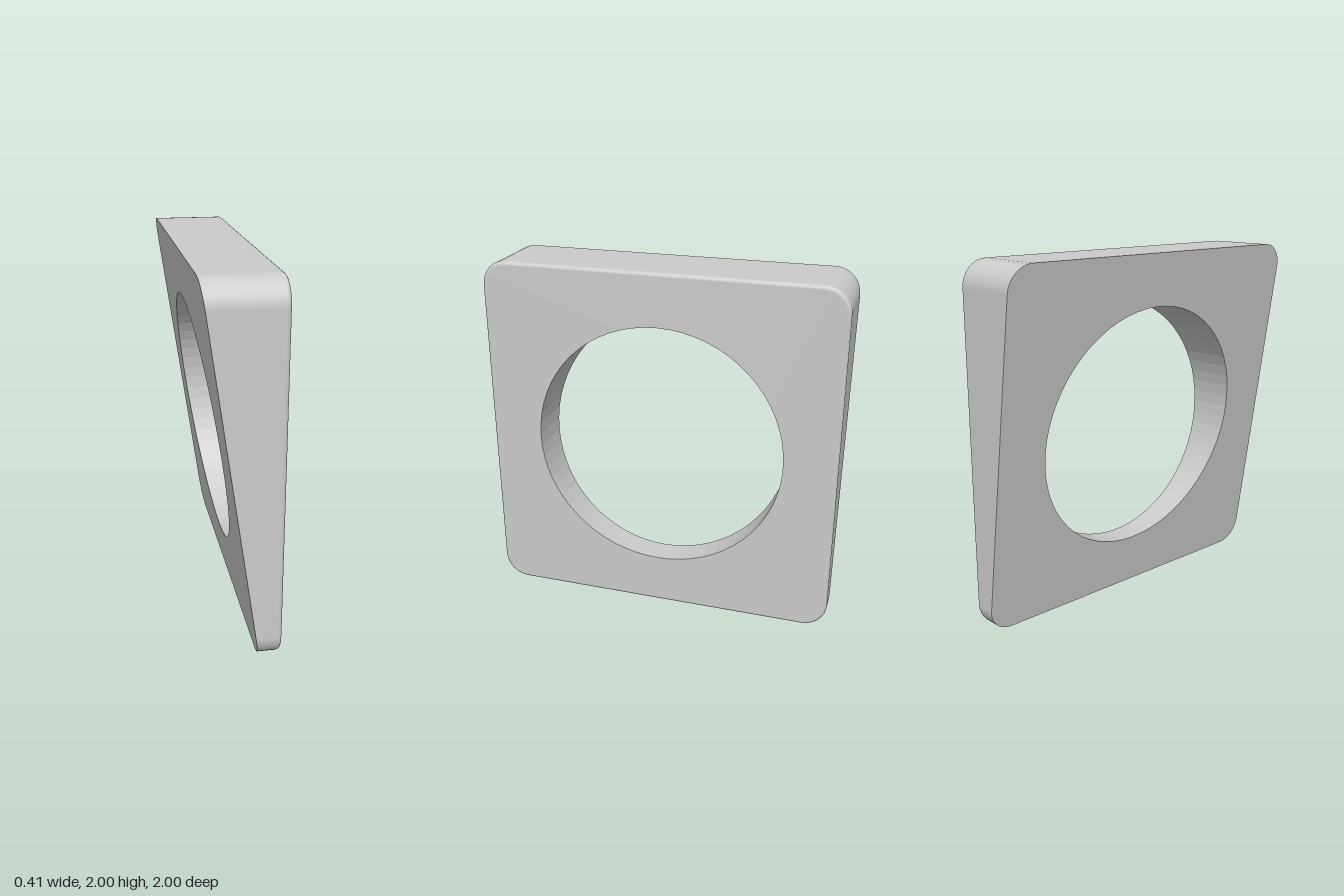
import * as THREE from 'three';

const FLAT_X = 0.205, FILLET = 0.022, CORNER = 0.14, HOLE_R = 0.706;
const slope = (y) => 0.09 - 0.15 * y; // tapered side, thick at the top

// Rounded square outline, counter-clockwise, shrunk by inset
function outline(inset) {
  const points = [], c = 1 - CORNER, r = CORNER - inset, steps = 8;
  [[1, 1], [-1, 1], [-1, -1], [1, -1]].forEach(([sx, sy], k) => {
    for (let i = 0; i <= steps; i++) {
      const a = (k + i / steps) * Math.PI / 2, dx = Math.cos(a), dy = Math.sin(a);
      points.push({ x: sx * c + r * dx, y: 1 + sy * c + r * dy, dx, dy });
    }
  });
  return points;
}

function circle() {
  return Array.from({ length: 64 }, (_, i) => {
    const a = i / 64 * Math.PI * 2, dx = Math.cos(a), dy = Math.sin(a);
    return { x: HOLE_R * dx, y: 1 + HOLE_R * dy, dx, dy };
  });
}

// Skin between successive loops; each section has points, depth(y) and normal tilt
function loft(sections, inward = false) {
  const pos = [], nor = [], index = [], n = sections[0].points.length, s = inward ? -1 : 1;
  for (const { points, depth, tilt = 0 } of sections) {
    for (const p of points) {
      pos.push(p.x, p.y, depth(p.y));
      nor.push(s * p.dx * Math.cos(tilt), s * p.dy * Math.cos(tilt), Math.sin(tilt));
    }
  }
  for (let k = 0; k < sections.length - 1; k++) {
    for (let i = 0; i < n; i++) {
      const a = k * n + i, b = k * n + (i + 1) % n, c = b + n, d = a + n;
      if (inward) index.push(a, c, b, a, d, c);
      else index.push(a, b, c, a, c, d);
    }
  }
  const g = new THREE.BufferGeometry();
  g.setAttribute('position', new THREE.Float32BufferAttribute(pos, 3));
  g.setAttribute('normal', new THREE.Float32BufferAttribute(nor, 3));
  g.setIndex(index);
  return g;
}

// Flat face with the round opening
function face(points, depth, flip) {
  const toVec = (p) => new THREE.Vector2(p.x, p.y);
  const shape = new THREE.Shape(points.map(toVec));
  shape.holes.push(new THREE.Path(circle().map(toVec)));
  const g = new THREE.ShapeGeometry(shape), p = g.attributes.position;
  for (let i = 0; i < p.count; i++) p.setZ(i, depth(p.getY(i)));
  if (flip) g.setIndex(Array.from(g.index.array).reverse());
  g.computeVertexNormals();
  return g;
}

export function createModel() {
  const group = new THREE.Group();
  group.name = 'wedgePlate';
  const material = new THREE.MeshStandardMaterial({ color: 0xcccccc });
  const add = (name, geometry, mat = material) => {
    geometry.rotateY(Math.PI / 2); // plate depth runs along x
    const mesh = new THREE.Mesh(geometry, mat);
    mesh.name = name;
    group.add(mesh);
  };
  const flat = () => FLAT_X;

  // Outer rim ending in a small fillet at the flat face
  const rim = [{ points: outline(0), depth: slope }];
  for (let i = 0; i <= 6; i++) {
    const tilt = i / 6 * Math.PI / 2;
    const w = FLAT_X - FILLET + FILLET * Math.sin(tilt);
    rim.push({ points: outline(FILLET * (1 - Math.cos(tilt))), depth: () => w, tilt });
  }
  add('outerRim', loft(rim));

  // Two faces and the wall of the opening
  add('flatFace', face(outline(FILLET), flat, false));
  add('slopedFace', face(outline(0), slope, true));
  const faceted = material.clone();
  faceted.flatShading = true;
  add('holeWall', loft([{ points: circle(), depth: slope }, { points: circle(), depth: flat }], true), faceted);
  return group;
}
